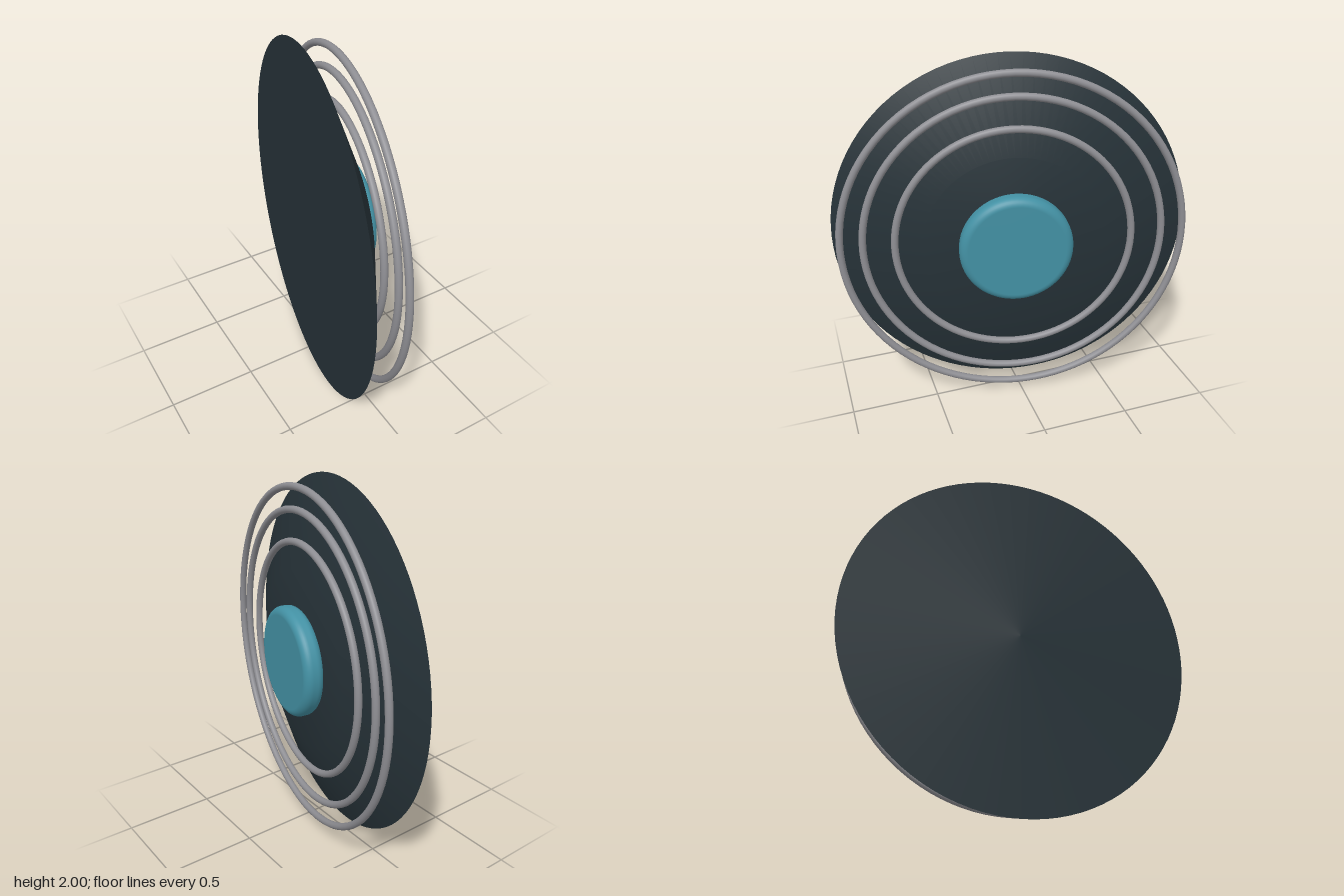
import * as THREE from 'three';

const V = (x, y) => new THREE.Vector2(x, y);

export function createModel() {
  const model = new THREE.Group();
  model.name = 'ringedDisc';

  const dark = new THREE.MeshStandardMaterial({ color: 0x263238 });
  dark.name = 'dark slate';
  const teal = new THREE.MeshStandardMaterial({ color: 0x4391a4 });
  teal.name = 'teal';
  const grey = new THREE.MeshStandardMaterial({ color: 0x8e8e93 });
  grey.name = 'grey metal';

  // Everything is turned about one axis, which points to +x and slightly to the front
  const axis = new THREE.Group();
  axis.name = 'tiltedAssembly';
  axis.position.set(-0.095, 1, 0);
  axis.rotation.y = -0.2;
  model.add(axis);

  const add = (name, geometry, material) => {
    geometry.rotateZ(-Math.PI / 2); // local y becomes the axis
    const mesh = new THREE.Mesh(geometry, material);
    mesh.name = name;
    axis.add(mesh);
  };

  // Sloped dish with a flat middle, closed by a flat back
  add('dish', new THREE.LatheGeometry([V(1, 0), V(0.5, 0.2), V(0, 0.2)], 96), dark);
  add('dishBack', new THREE.LatheGeometry([V(0, 0), V(1, 0)], 96), dark);

  // Centre button with rounded rims
  const bevel = 0.045, radius = 0.31, back = 0.19, front = 0.305;
  const profile = [V(0, back)];
  for (let i = 0; i <= 8; i++) {
    const a = -Math.PI / 2 + (i / 8) * (Math.PI / 2);
    profile.push(V(radius - bevel + bevel * Math.cos(a), back + bevel + bevel * Math.sin(a)));
  }
  for (let i = 0; i <= 8; i++) {
    const a = (i / 8) * (Math.PI / 2);
    profile.push(V(radius - bevel + bevel * Math.cos(a), front - bevel + bevel * Math.sin(a)));
  }
  profile.push(V(0, front));
  add('centreButton', new THREE.LatheGeometry(profile, 64), teal);

  // Three floating concentric rings
  [['innerRing', 0.65], ['middleRing', 0.82], ['outerRing', 0.94]].forEach(([name, r]) => {
    const ring = new THREE.TorusGeometry(r, 0.02, 14, 96);
    ring.rotateX(Math.PI / 2).translate(0, 0.186, 0);
    add(name, ring, grey);
  });

  return model;
}
